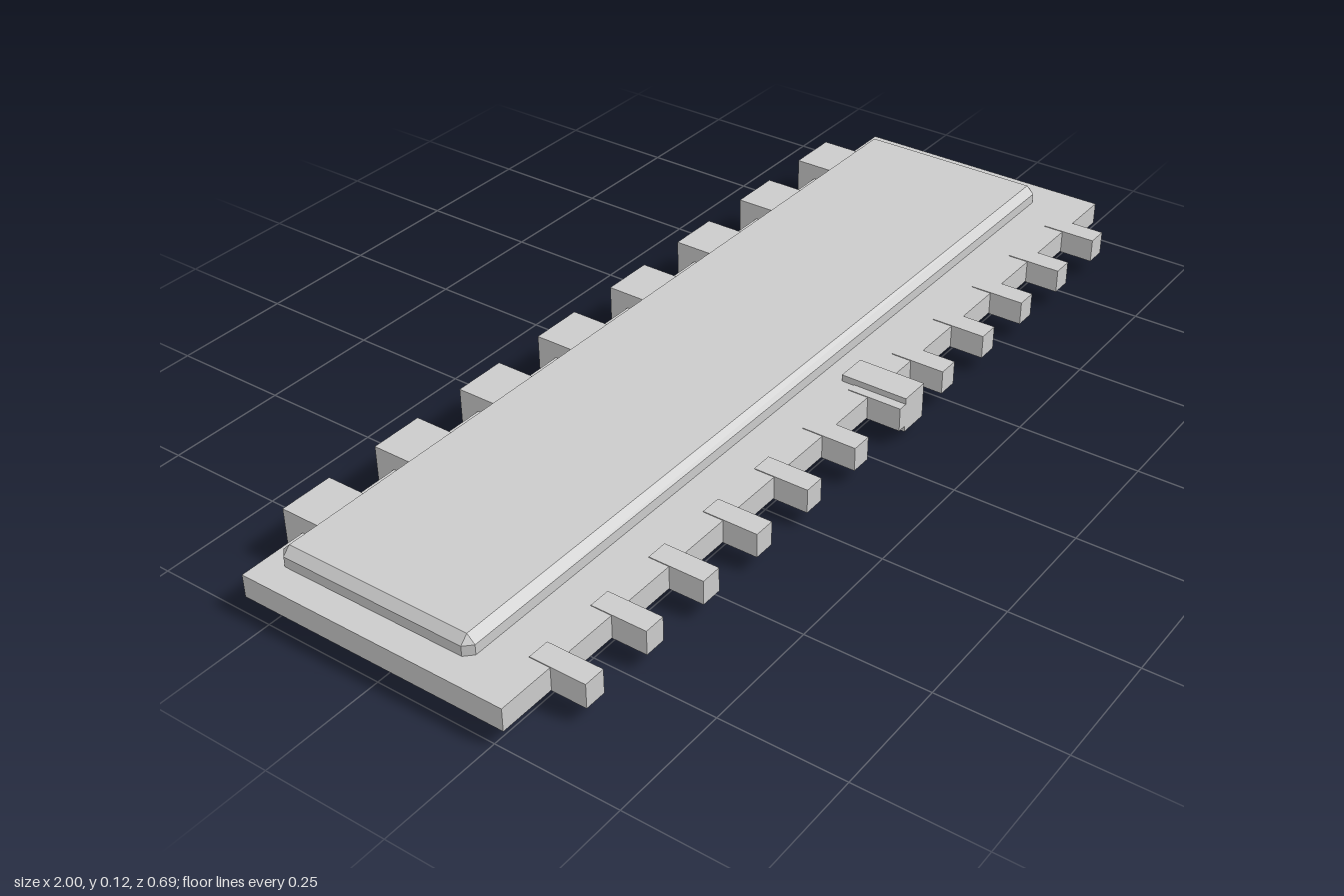
import * as THREE from 'three';
import { ConvexGeometry } from 'three/addons/geometries/ConvexGeometry.js';

const MID = 0.0605; // height of the board's middle plane

export function createModel() {
  const model = new THREE.Group();
  model.name = 'memoryModule';
  const material = new THREE.MeshStandardMaterial({ color: 0xcccccc, flatShading: true });

  const add = (name, geometry, x, z) => {
    const mesh = new THREE.Mesh(geometry, material);
    mesh.name = name;
    mesh.position.set(x, MID, z);
    model.add(mesh);
  };

  // Box given by its x centre, width, height and z range
  const addBox = (name, x, width, height, z0, z1) =>
    add(name, new THREE.BoxGeometry(width, height, z1 - z0), x, (z0 + z1) / 2);

  // Box with every edge cut by a flat chamfer
  const chamferedBox = (w, h, d, c) => {
    const points = [];
    for (const sx of [-1, 1]) for (const sy of [-1, 1]) for (const sz of [-1, 1]) {
      const x = w / 2, y = h / 2, z = d / 2;
      points.push(
        new THREE.Vector3(sx * x, sy * (y - c), sz * (z - c)),
        new THREE.Vector3(sx * (x - c), sy * y, sz * (z - c)),
        new THREE.Vector3(sx * (x - c), sy * (y - c), sz * z));
    }
    return new ConvexGeometry(points);
  };

  // Circuit board and the heat spreader clamped around it
  addBox('circuitBoard', 0, 2, 0.047, -0.3, 0.271);
  add('heatSpreader', chamferedBox(1.884, 0.121, 0.428, 0.016), -0.001, -0.059);

  // Contact pins along the front edge
  for (let i = 0; i < 12; i++) {
    addBox('contactPin', -0.86 + i * 0.157, 0.045, 0.05, 0.228, 0.343);
  }

  // Key block between the contacts
  addBox('keyBlock', 0.112, 0.065, 0.075, 0.2, 0.343);

  // Cooling fins along the back edge
  for (let i = 0; i < 8; i++) {
    addBox('coolingFin', -0.802 + i * 0.2285, 0.113, 0.113, -0.343, -0.24);
  }

  return model;
}
